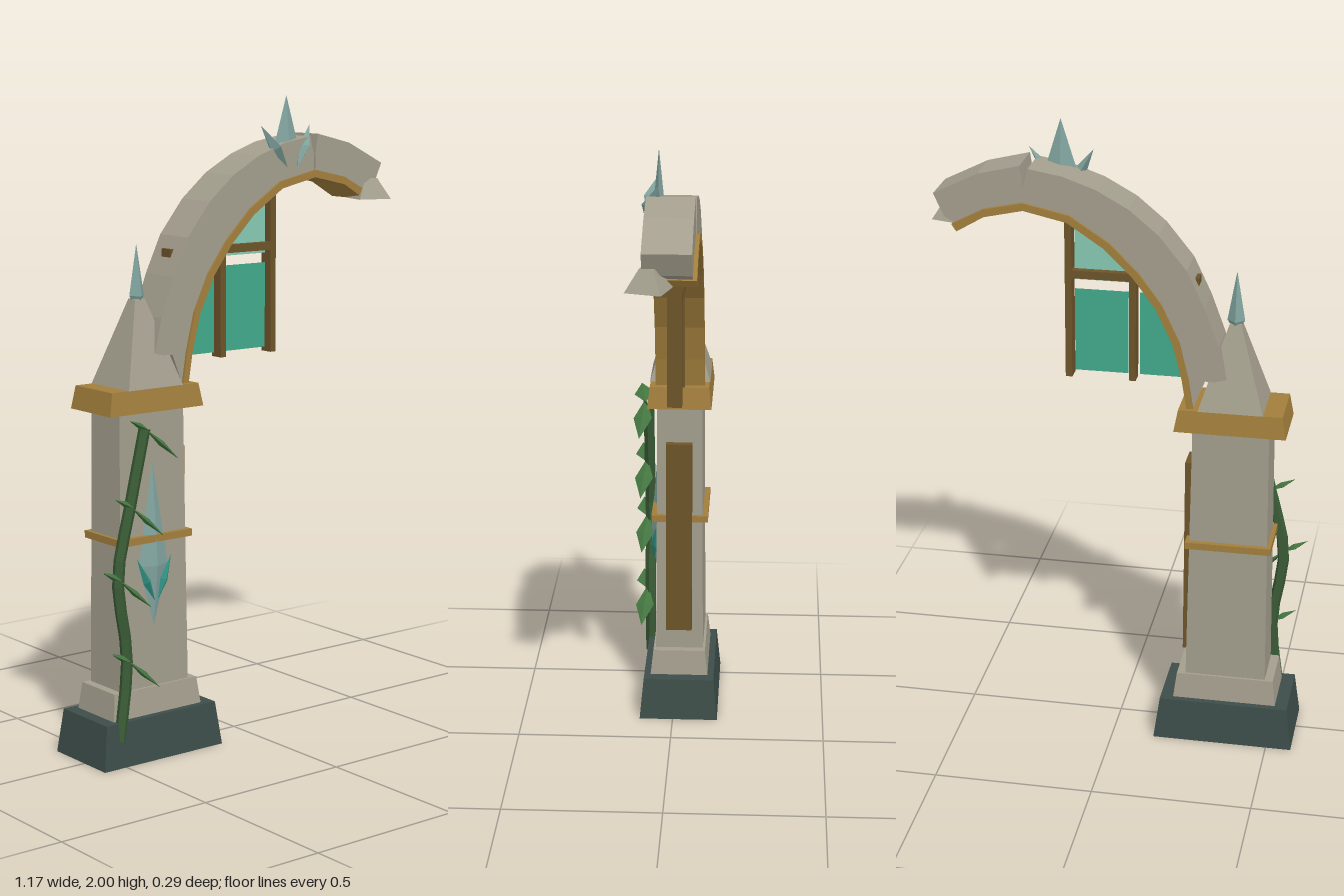
import * as THREE from 'three';

const mat = (name, color, extra = {}) => {
  const m = new THREE.MeshStandardMaterial({ color, flatShading: true, ...extra });
  m.name = name;
  return m;
};

export function createModel() {
  const model = new THREE.Group();
  model.name = 'ruinedArch';
  const stone = mat('stone', 0xa39e8d);
  const darkStone = mat('darkStone', 0x3d4d49);
  const gold = mat('gold', 0xa27e3c);
  const wood = mat('wood', 0x6d542a);
  const glass = mat('glass', 0x41a98a, { side: THREE.DoubleSide });
  const paleGlass = mat('paleGlass', 0x86c9b2, { side: THREE.DoubleSide });
  const crystal = mat('crystal', 0x82a5a0);
  const teal = mat('tealCrystal', 0x2f8f80);
  const stem = mat('stem', 0x3a5c36);
  const leaf = mat('leaf', 0x437540);

  const add = (name, geo, material, x = 0, y = 0, z = 0) => {
    const m = new THREE.Mesh(geo, material);
    m.name = name;
    m.position.set(x, y, z);
    model.add(m);
    return m;
  };
  const CX = -0.357, CZ = -0.019;

  // Tapered block on the column axis
  const block = (name, material, y0, y1, w0, d0, w1, d1) => {
    const g = new THREE.BoxGeometry(1, y1 - y0, 1);
    const p = g.attributes.position;
    for (let i = 0; i < p.count; i++) {
      const top = p.getY(i) > 0;
      p.setX(i, p.getX(i) * (top ? w1 : w0));
      p.setZ(i, p.getZ(i) * (top ? d1 : d0));
    }
    return add(name, g, material, CX, (y0 + y1) / 2, CZ);
  };
  // Box given by its limits
  const bar = (name, material, x0, x1, y0, y1, z0, z1) =>
    add(name, new THREE.BoxGeometry(x1 - x0, y1 - y0, z1 - z0), material,
      (x0 + x1) / 2, (y0 + y1) / 2, (z0 + z1) / 2);
  // Outline in x, y extruded from z0 to z1
  const outline = (pts) => new THREE.Shape(pts.map(([x, y]) => new THREE.Vector2(x, y)));
  const slab = (name, material, pts, z0, z1) =>
    add(name, new THREE.ExtrudeGeometry(outline(pts), { depth: z1 - z0, bevelEnabled: false }),
      material, 0, 0, z0);
  // Four-sided double-pointed shard from a to b, widest at fraction f
  const shard = (name, material, a, b, f, rx, rz) => {
    const A = new THREE.Vector3(...a), B = new THREE.Vector3(...b);
    const len = A.distanceTo(B);
    const g = new THREE.LatheGeometry(
      [[0, 0], [1, len * f], [0, len]].map(([x, y]) => new THREE.Vector2(x, y)), 4);
    g.scale(rx, 1, rz);
    const m = add(name, g, material, ...a);
    m.quaternion.setFromUnitVectors(new THREE.Vector3(0, 1, 0), B.sub(A).normalize());
    return m;
  };

  // Column
  block('plinth', darkStone, 0, 0.137, 0.446, 0.258, 0.41, 0.232);
  block('columnFoot', stone, 0.137, 0.22, 0.33, 0.19, 0.31, 0.172);
  block('columnShaft', stone, 0.22, 1.08, 0.256, 0.156, 0.236, 0.146);
  block('columnBand', gold, 0.673, 0.695, 0.27, 0.185, 0.27, 0.185);
  block('capital', gold, 1.075, 1.145, 0.345, 0.206, 0.32, 0.19);
  block('spireBase', stone, 1.145, 1.405, 0.2, 0.194, 0.036, 0.034);
  bar('sidePanel', wood, -0.24, -0.213, 0.29, 0.945, -0.06, 0.025);
  shard('spireCrystal', crystal, [CX, 1.37, CZ], [CX, 1.57, CZ], 0.22, 0.027, 0.027);

  // Arch: shared intrados curve, stone ring and gold lining
  const inner = [[-0.24, 1.145], [-0.225, 1.24], [-0.195, 1.36], [-0.14, 1.475],
    [-0.07, 1.57], [0.02, 1.66], [0.14, 1.738], [0.28, 1.768]];
  const outer = [[0.28, 1.81], [0.265, 1.873], [0.16, 1.855], [0.06, 1.82], [-0.04, 1.765],
    [-0.13, 1.69], [-0.215, 1.585], [-0.27, 1.47], [-0.315, 1.35], [-0.34, 1.245],
    [-0.305, 1.235], [-0.275, 1.235]];
  slab('archStone', stone, [...inner, ...outer], -0.09, 0.05);
  slab('archBrokenEnd', stone, [[0.28, 1.768], [0.4, 1.74], [0.49, 1.69], [0.525, 1.71],
    [0.557, 1.78], [0.42, 1.848], [0.29, 1.88], [0.28, 1.81]], -0.087, 0.056);
  slab('archLining', gold, [...inner, [0.4, 1.742], [0.5, 1.69], [0.485, 1.668], [0.4, 1.718],
    [0.28, 1.745], [0.147, 1.716], [0.034, 1.641], [-0.053, 1.555], [-0.122, 1.463],
    [-0.175, 1.352], [-0.205, 1.237], [-0.22, 1.145]], -0.099, 0.058);

  // Loose rubble under the broken end
  const rubble = add('rubble', new THREE.CylinderGeometry(0.03, 0.077, 0.065, 4), stone,
    0.52, 1.7, 0.036);
  rubble.rotation.y = 0.5;

  // Window frame and panes
  bar('windowCrossbar', wood, -0.245, 0.165, 1.522, 1.547, -0.043, 0.002);
  bar('windowMullion', wood, -0.053, -0.032, 1.2, 1.58, -0.043, 0.002);
  bar('windowPost', wood, 0.145, 0.166, 1.2, 1.735, -0.043, 0.002);
  const pane = (name, material, pts) =>
    add(name, new THREE.ShapeGeometry(outline(pts)), material, 0, 0, -0.02);
  pane('paneLowerOuter', glass, [[-0.215, 1.215], [-0.062, 1.215], [-0.062, 1.482],
    [-0.125, 1.482], [-0.185, 1.355]]);
  pane('paneLowerInner', glass, [[-0.027, 1.215], [0.14, 1.215], [0.14, 1.482], [-0.027, 1.482]]);
  pane('paneUpper', paleGlass, [[-0.027, 1.512], [0.14, 1.512], [0.14, 1.72],
    [0.034, 1.65], [-0.027, 1.59]]);

  // Crystals on the crown of the arch
  shard('crownCrystal', crystal, [0.188, 1.77, 0.024], [0.188, 2.0, 0.024], 0.3, 0.05, 0.016);
  shard('crownShard', crystal, [0.165, 1.78, 0.06], [0.088, 1.91, 0.022], 0.45, 0.018, 0.03);
  shard('crownShard', crystal, [0.205, 1.78, 0.06], [0.285, 1.91, 0.022], 0.45, 0.018, 0.03);

  // Crystal set in the column front
  shard('columnCrystal', crystal, [CX, 0.385, 0.055], [CX, 0.92, 0.055], 0.4, 0.058, 0.025);
  for (const s of [-1, 1]) {
    shard('columnShard', teal, [CX + s * 0.005, 0.49, 0.072], [CX + s * 0.064, 0.625, 0.062],
      0.45, 0.014, 0.014);
  }

  // Climbing vine
  const path = [[-0.51, 0.08], [-0.482, 0.33], [-0.512, 0.585], [-0.465, 0.8], [-0.41, 1.03]];
  const curve = new THREE.CatmullRomCurve3(path.map(([x, y]) => new THREE.Vector3(x, y, 0.09)));
  add('vineStem', new THREE.TubeGeometry(curve, 12, 0.019, 5), stem);
  for (const [x, y] of path.slice(1)) {
    shard('vineLeaf', leaf, [x + 0.01, y - 0.005, 0.1], [x - 0.075, y + 0.035, 0.118], 0.5, 0.009, 0.032);
    shard('vineLeaf', leaf, [x - 0.01, y + 0.005, 0.1], [x + 0.105, y - 0.1, 0.118], 0.5, 0.009, 0.032);
  }
  return model;
}
